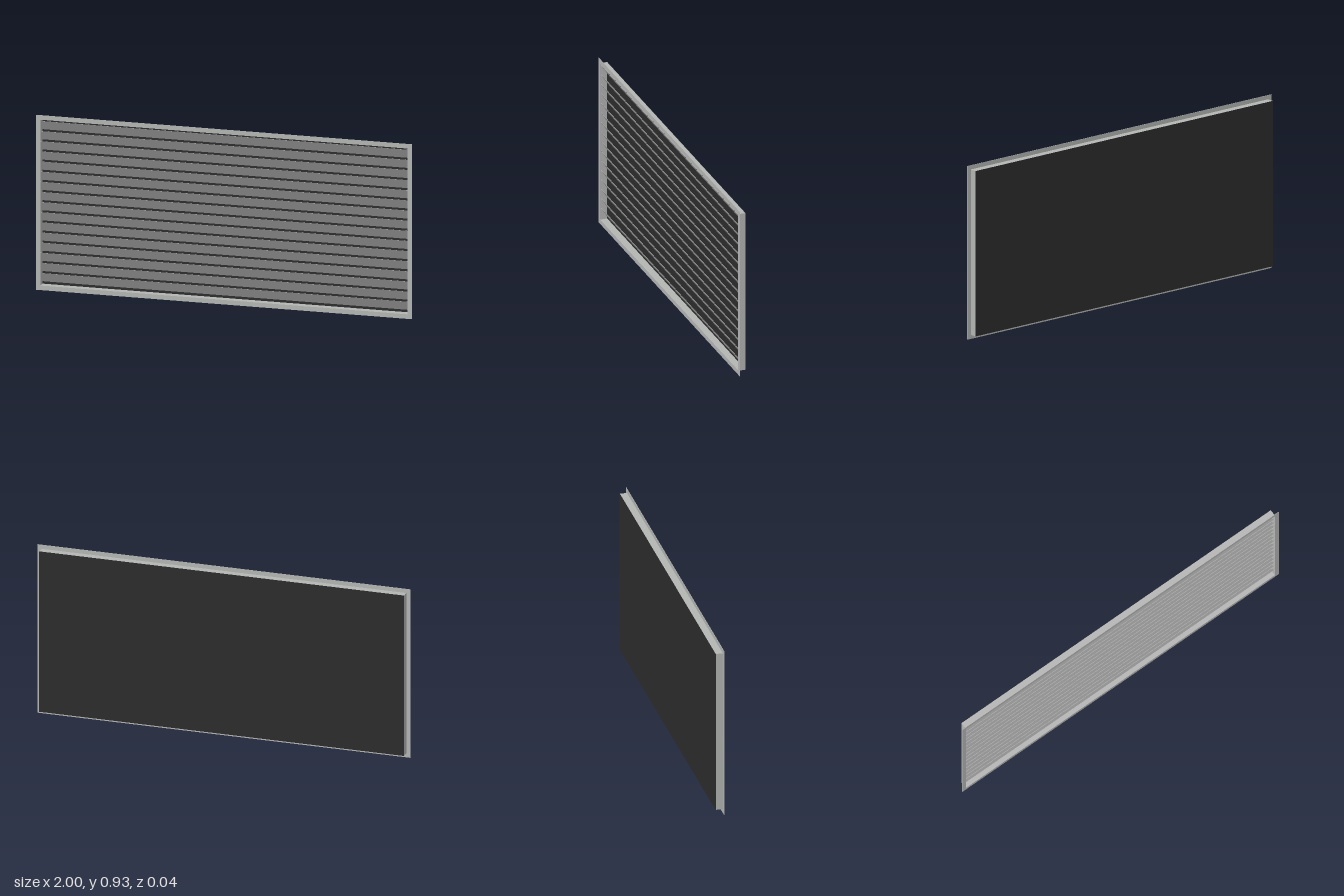
import * as THREE from 'three';

const WIDTH = 2, HEIGHT = 0.925, RIM = 0.022, FRONT = 0.02, BACK = -0.02;

// Rectangular ring centred on the panel, extruded from z0 to z1
function ring(outerInset, innerInset, z0, z1) {
  const rect = (target, d) => {
    const x = WIDTH / 2 - d, lo = d, hi = HEIGHT - d;
    target.moveTo(-x, lo).lineTo(x, lo).lineTo(x, hi).lineTo(-x, hi).closePath();
    return target;
  };
  const shape = rect(new THREE.Shape(), outerInset);
  shape.holes.push(rect(new THREE.Path(), innerInset));
  return new THREE.ExtrudeGeometry(shape, { depth: z1 - z0, bevelEnabled: false }).translate(0, 0, z0);
}

export function createModel() {
  const model = new THREE.Group();
  model.name = 'louverPanel';

  const metal = new THREE.MeshStandardMaterial({ color: 0xb4b6b4 });
  metal.name = 'light grey metal';
  const dark = new THREE.MeshStandardMaterial({ color: 0x2c2c2c });
  dark.name = 'dark backing';

  const add = (name, geometry, material, parent = model) => {
    const mesh = new THREE.Mesh(geometry, material);
    mesh.name = name;
    parent.add(mesh);
    return mesh;
  };

  // Thin front flange and the shallow box walls behind it
  add('flange', ring(0, RIM + 0.002, FRONT - 0.002, FRONT), metal);
  add('frameWalls', ring(RIM, RIM + 0.002, BACK + 0.001, FRONT - 0.002), metal);

  // Dark sheet closing the back
  const sheet = new THREE.BoxGeometry(WIDTH - 2 * RIM, HEIGHT - 2 * RIM, 0.001);
  add('backPanel', sheet, dark).position.set(0, HEIGHT / 2, BACK + 0.0005);

  // Slats lean forward at the top, so their front faces look downward
  const length = WIDTH - 2 * RIM - 0.004;
  const count = 16, pitch = 0.0536, rise = 0.0516, first = 0.0375;
  const zLow = -0.017, zHigh = 0.016, thick = 0.002;
  // Profile is drawn as (-z, y) so that turning it about y runs it along x
  const profile = new THREE.Shape([
    new THREE.Vector2(-zLow, 0),
    new THREE.Vector2(-zLow + thick, 0),
    new THREE.Vector2(-zHigh + thick, rise),
    new THREE.Vector2(-zHigh, rise),
  ]);
  const slat = new THREE.ExtrudeGeometry(profile, { depth: length, bevelEnabled: false })
    .rotateY(Math.PI / 2)
    .translate(-length / 2, 0, 0);
  const slats = new THREE.Group();
  slats.name = 'slats';
  model.add(slats);
  for (let i = 0; i < count; i++) {
    add('slat', slat, metal, slats).position.y = first + i * pitch;
  }

  return model;
}
